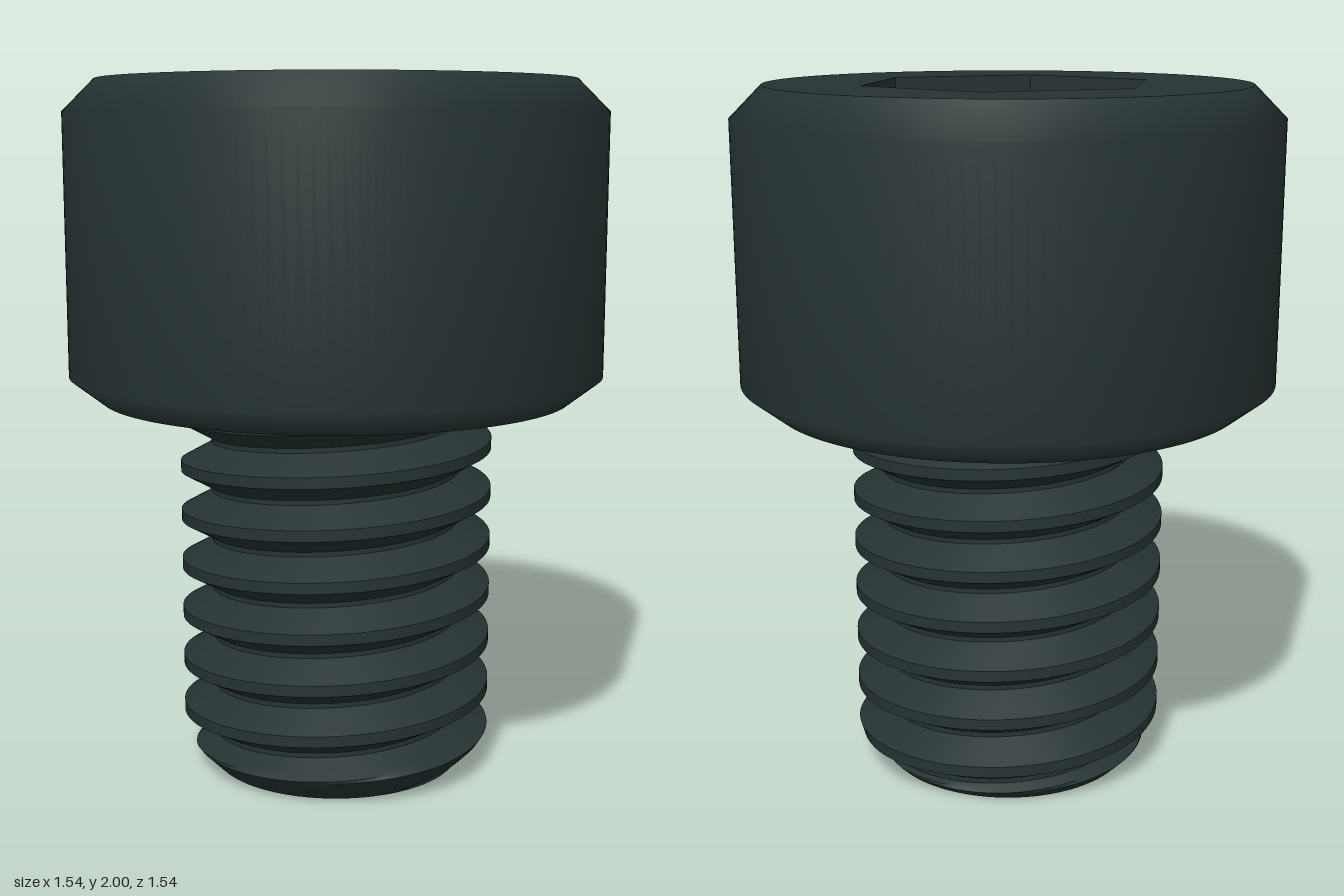
import * as THREE from 'three';
import { toCreasedNormals } from 'three/addons/utils/BufferGeometryUtils.js';

const SEG = 128;
const HEAD_BOTTOM = 1.1, TOP = 2, RIM = 0.68, HEAD_R = 0.77;
const HEX_R = 0.425, SOCKET_DEPTH = 0.45;
const ROOT_R = 0.365, CREST_R = 0.455, PITCH = 0.1457;

// Helical thread: rows follow the helix, clamped at both ends,
// and a 45 degree cone trims the crest at the tip.
function threadGeometry() {
  const steps = 6, crest = 0.016, flank = 0.05;
  const profile = [];
  for (let i = 0; i <= steps; i++) {
    const t = i / steps;
    profile.push([-crest - flank * (1 - t), ROOT_R + (CREST_R - ROOT_R) * t]);
  }
  for (let i = 0; i <= steps; i++) {
    const t = i / steps;
    profile.push([crest + flank * t, CREST_R - (CREST_R - ROOT_R) * t]);
  }
  const rows = [];
  for (let k = -2; k <= 8; k++) {
    for (const [dy, r] of profile) rows.push([0.075 + k * PITCH + dy, r]);
  }
  const positions = [], index = [], stride = SEG + 1;
  rows.forEach(([y0, r0], j) => {
    for (let i = 0; i <= SEG; i++) {
      const a = (i / SEG) * Math.PI * 2;
      const y = THREE.MathUtils.clamp(y0 + PITCH * i / SEG, 0, HEAD_BOTTOM + 0.01);
      const r = Math.min(r0, ROOT_R + y);
      positions.push(r * Math.cos(a), y, -r * Math.sin(a));
      if (j > 0 && i > 0) {
        const d = j * stride + i, c = d - 1, b = d - stride, e = b - 1;
        index.push(e, b, d, e, d, c);
      }
    }
  });
  const g = new THREE.BufferGeometry();
  g.setAttribute('position', new THREE.Float32BufferAttribute(positions, 3));
  g.setIndex(index);
  return toCreasedNormals(g, 0.5);
}

export function createModel() {
  const group = new THREE.Group();
  const steel = new THREE.MeshStandardMaterial({ color: 0x263333, side: THREE.DoubleSide });
  steel.name = 'black steel';

  const add = (name, geometry, y = 0) => {
    const mesh = new THREE.Mesh(geometry, steel);
    mesh.name = name;
    mesh.position.y = y;
    group.add(mesh);
  };

  // Head side with softly shaded chamfers
  const side = [[RIM, HEAD_BOTTOM], [HEAD_R, 1.17], [HEAD_R, 1.91], [RIM, TOP]];
  add('headSide', new THREE.LatheGeometry(side.map(p => new THREE.Vector2(...p)), SEG));

  // Head top with hexagonal opening
  const face = new THREE.Shape().absarc(0, 0, RIM, 0, Math.PI * 2);
  const hex = [];
  for (let i = 0; i < 6; i++) {
    const a = -i * Math.PI / 3;
    hex.push(new THREE.Vector2(HEX_R * Math.cos(a), HEX_R * Math.sin(a)));
  }
  face.holes.push(new THREE.Path(hex));
  add('headTop', new THREE.ShapeGeometry(face, SEG).rotateX(-Math.PI / 2), TOP);

  // Hex socket walls and floor
  const walls = new THREE.CylinderGeometry(HEX_R, HEX_R, SOCKET_DEPTH, 6, 1, true, Math.PI / 2);
  add('socketWalls', toCreasedNormals(walls, 0.5), TOP - SOCKET_DEPTH / 2);
  add('socketFloor', new THREE.CircleGeometry(HEX_R, 6).rotateX(-Math.PI / 2), TOP - SOCKET_DEPTH);

  // Underside of head
  add('headUnderside', new THREE.RingGeometry(ROOT_R - 0.02, RIM, SEG).rotateX(Math.PI / 2), HEAD_BOTTOM);

  // Threaded shank and its flat tip
  add('thread', threadGeometry());
  add('shankTip', new THREE.CircleGeometry(ROOT_R, SEG).rotateX(Math.PI / 2), 0);

  return group;
}
